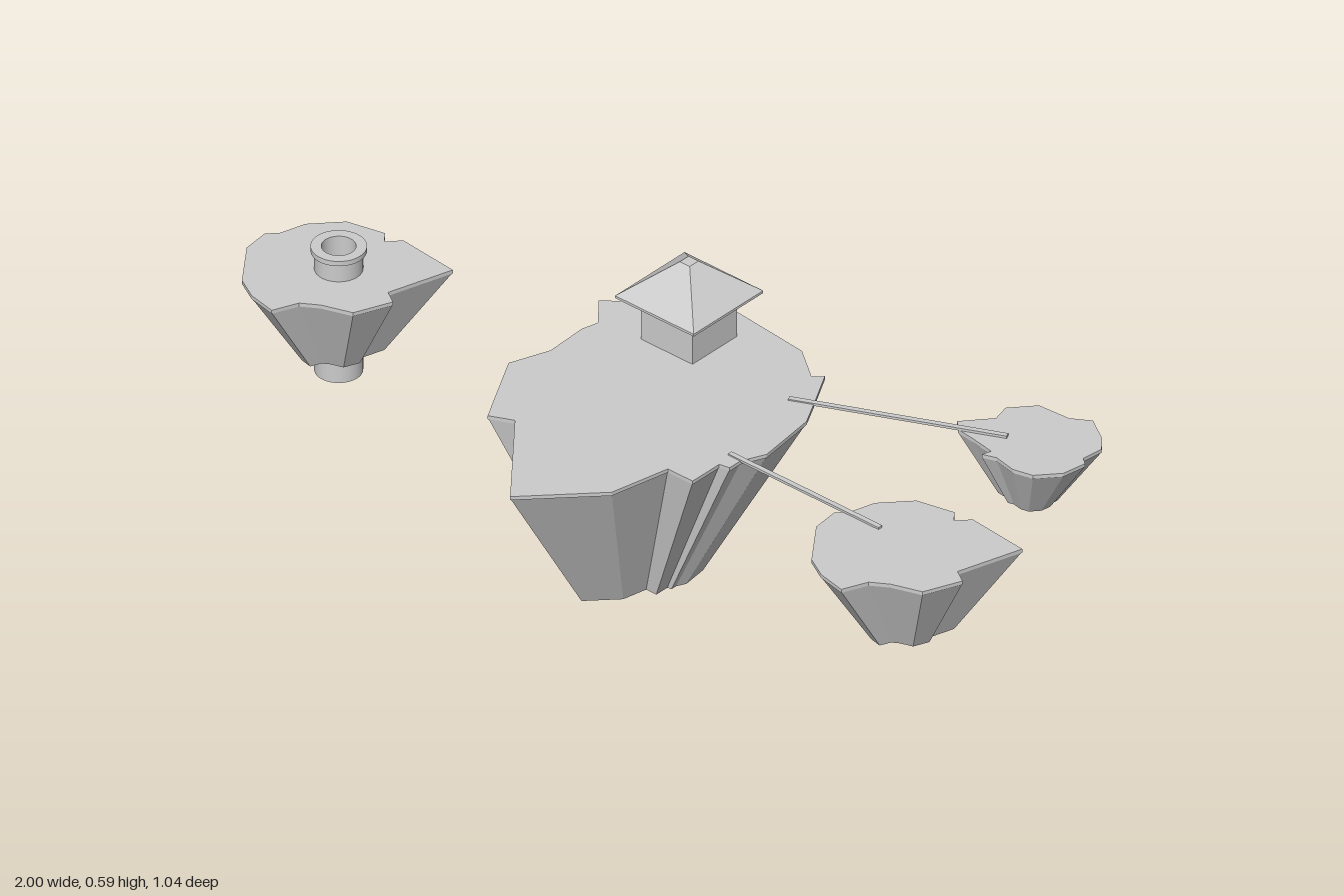
import * as THREE from 'three';

const material = new THREE.MeshStandardMaterial({ color: 0xcccccc, flatShading: true });
const smooth = new THREE.MeshStandardMaterial({ color: 0xcccccc, side: THREE.DoubleSide });
const TAPER = 0.41;   // size of an island's foot relative to its top
const CAP = 0.009;    // thickness of the turf

// Island outlines as [x, z] around each island's own centre
const MAIN = [
  [-0.33, -0.27], [-0.12, -0.435], [0.12, -0.41], [0.2, -0.35], [0.22, -0.37], [0.27, -0.28],
  [0.305, -0.215], [0.325, -0.065], [0.3, -0.01], [0.3, 0.025], [0.275, 0.03], [0.275, 0.115],
  [0.205, 0.115], [0.175, 0.26], [0.025, 0.415], [-0.16, 0.19], [-0.215, 0.215],
  [-0.315, 0.035], [-0.28, -0.06], [-0.285, -0.165], [-0.275, -0.205],
];
const SIDE = [
  [0.19, -0.155], [0.037, -0.17], [0.01, -0.14], [-0.01, -0.165], [-0.1, -0.145], [-0.16, -0.08],
  [-0.177, -0.02], [-0.2, 0.005], [-0.193, 0.07], [-0.118, 0.17], [-0.064, 0.2], [0.005, 0.214],
  [0.03, 0.155], [0.07, 0.13], [0.14, 0.107], [0.176, 0.02], [0.144, 0],
];
const BACK = [
  [-0.15, 0.05], [-0.096, -0.013], [-0.107, -0.056], [-0.06, -0.11], [0.02, -0.115], [0.064, -0.142],
  [0.123, -0.104], [0.15, -0.072], [0.144, -0.02], [0.16, -0.008], [0.15, 0.05], [0.107, 0.099],
  [0.06, 0.11], [0.005, 0.099], [-0.027, 0.11], [-0.02, 0.088], [-0.08, 0.078], [-0.128, 0.072],
];

function mesh(name, geometry, x = 0, y = 0, z = 0, mat = material) {
  const m = new THREE.Mesh(geometry, mat);
  m.name = name;
  m.position.set(x, y, z);
  return m;
}

// Upright prism over an outline, scaled separately at its foot and its top
function prism(outline, height, footScale, topScale) {
  const shape = new THREE.Shape(outline.map(([x, z]) => new THREE.Vector2(x, -z)));
  const g = new THREE.ExtrudeGeometry(shape, { depth: height, bevelEnabled: false });
  g.rotateX(-Math.PI / 2);
  const p = g.attributes.position;
  for (let i = 0; i < p.count; i++) {
    const s = p.getY(i) > height / 2 ? topScale : footScale;
    p.setX(i, p.getX(i) * s);
    p.setZ(i, p.getZ(i) * s);
  }
  g.computeVertexNormals();
  return g;
}

function island(name, outline, x, z, bottom, top) {
  const g = new THREE.Group();
  g.name = name;
  g.position.set(x, 0, z);
  g.add(mesh('rock', prism(outline, top - CAP - bottom, TAPER, 0.993), 0, bottom, 0));
  g.add(mesh('turf', prism(outline, CAP, 1, 1), 0, top - CAP, 0));
  return g;
}

// Flat plank between two points on the ground plane
function bridge(name, x1, z1, x2, z2) {
  const length = Math.hypot(x2 - x1, z2 - z1);
  const m = mesh(name, new THREE.BoxGeometry(length, 0.006, 0.012), (x1 + x2) / 2, 0.394, (z1 + z2) / 2);
  m.rotation.y = -Math.atan2(z2 - z1, x2 - x1);
  return m;
}

function house() {
  const g = new THREE.Group();
  g.name = 'house';
  g.position.set(-0.0625, 0, -0.19);
  g.add(mesh('walls', new THREE.BoxGeometry(0.145, 0.115, 0.143), 0, 0.4475, 0));
  g.add(mesh('eaves', new THREE.BoxGeometry(0.222, 0.006, 0.222), 0, 0.504, 0));
  // Four-sided hipped roof with a small flat top
  const roof = new THREE.CylinderGeometry(0.014 * Math.SQRT2, 0.111 * Math.SQRT2, 0.081, 4);
  roof.rotateY(Math.PI / 4);
  g.add(mesh('roof', roof, 0, 0.5475, 0));
  return g;
}

function well() {
  const g = new THREE.Group();
  g.name = 'well';
  g.position.set(-0.795, 0, 0.1);
  // Hollow stem with a wider rim; every corner is doubled to stay sharp
  const corners = [
    [0.052, 0.385], [0.052, 0.437], [0.06, 0.437], [0.06, 0.449],
    [0.037, 0.449], [0.037, 0.4], [0, 0.4],
  ].map(([r, y]) => new THREE.Vector2(r, y));
  for (let i = 0; i < corners.length - 1; i++) {
    g.add(mesh('wellRing', new THREE.LatheGeometry([corners[i], corners[i + 1]], 32), 0, 0, 0, smooth));
  }
  // Shaft end showing under the island
  g.add(mesh('wellShaft', new THREE.CylinderGeometry(0.052, 0.052, 0.07, 32), 0, 0.17, 0, smooth));
  return g;
}

export function createModel() {
  const model = new THREE.Group();
  model.name = 'floatingIslands';
  model.add(
    island('mainIsland', MAIN, 0.03, 0.1, 0, 0.394),
    island('rightIsland', SIDE, -0.8, 0.1, 0.185, 0.392),
    island('leftIsland', SIDE, 0.807, 0.1, 0.185, 0.392),
    island('backIsland', BACK, 0.72, -0.38, 0.242, 0.391),
    house(),
    well(),
    bridge('frontBridge', 0.295, 0.085, 0.72, 0.085),
    bridge('backBridge', 0.25, -0.155, 0.69, -0.355),
  );
  return model;
}
